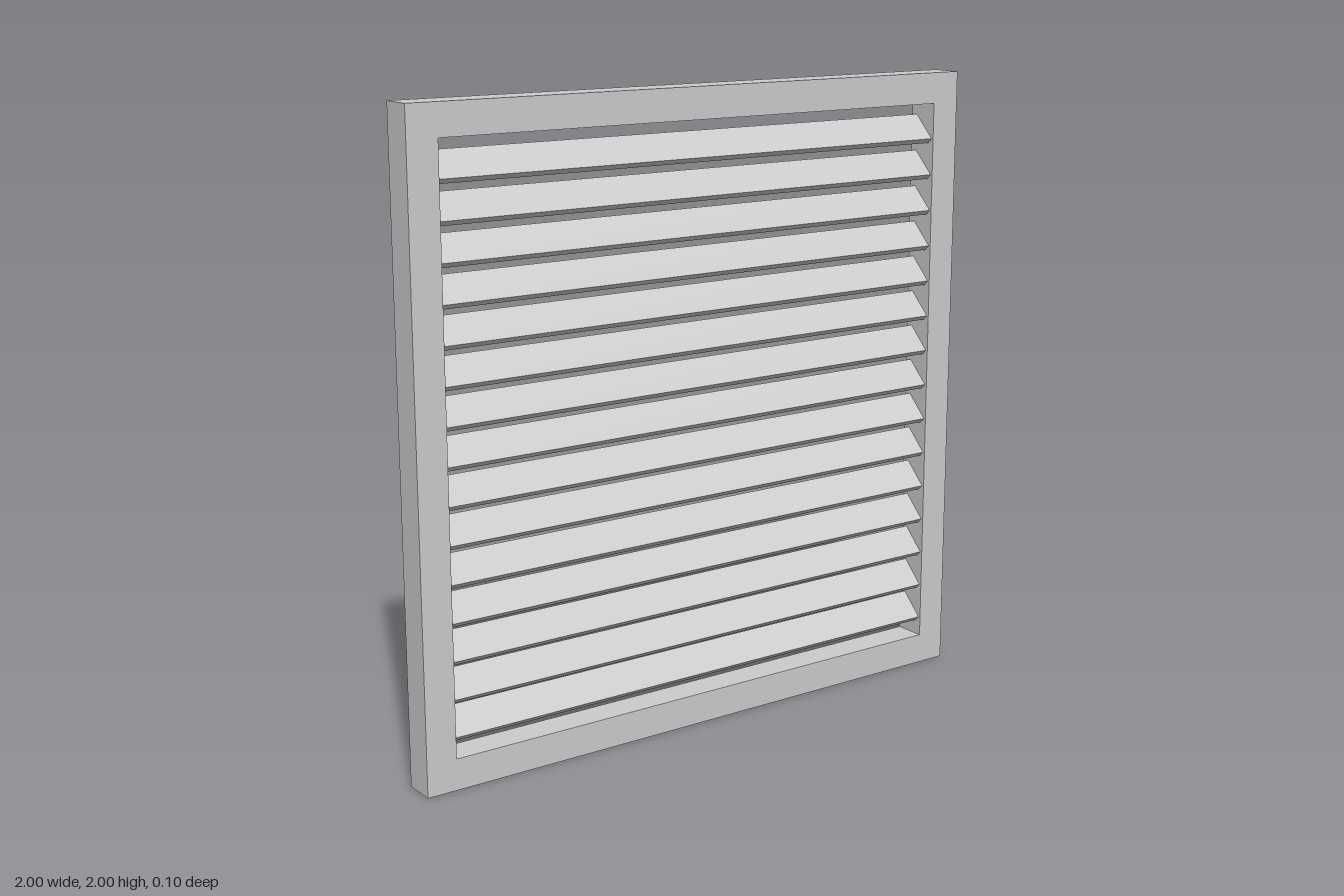
import * as THREE from 'three';

const SIZE = 2, BORDER = 0.098, DEPTH = 0.103;
const SLATS = 15, PITCH = 0.1163, MID_Y = 1.004;

export function createModel() {
  const model = new THREE.Group();
  model.name = 'louverPanel';
  const material = new THREE.MeshStandardMaterial({ color: 0xcccccc });

  // Square frame with one rectangular opening
  const rect = (path, h) => path.moveTo(-h, -h).lineTo(h, -h).lineTo(h, h).lineTo(-h, h).closePath();
  const outline = rect(new THREE.Shape(), SIZE / 2);
  outline.holes.push(rect(new THREE.Path(), SIZE / 2 - BORDER));
  const frameGeometry = new THREE.ExtrudeGeometry(outline, { depth: DEPTH, bevelEnabled: false });
  frameGeometry.translate(0, SIZE / 2, -DEPTH / 2);
  const frame = new THREE.Mesh(frameGeometry, material);
  frame.name = 'frame';
  model.add(frame);

  // Slats sloping down towards the front at 45 degrees
  const slats = new THREE.Group();
  slats.name = 'slats';
  const slatGeometry = new THREE.BoxGeometry(SIZE - 2 * BORDER, 0.021, 0.104);
  slatGeometry.rotateX(Math.PI / 4);
  for (let i = 0; i < SLATS; i++) {
    const slat = new THREE.Mesh(slatGeometry, material);
    slat.name = `slat${i + 1}`;
    slat.position.y = MID_Y + (i - (SLATS - 1) / 2) * PITCH;
    slats.add(slat);
  }
  model.add(slats);
  return model;
}
